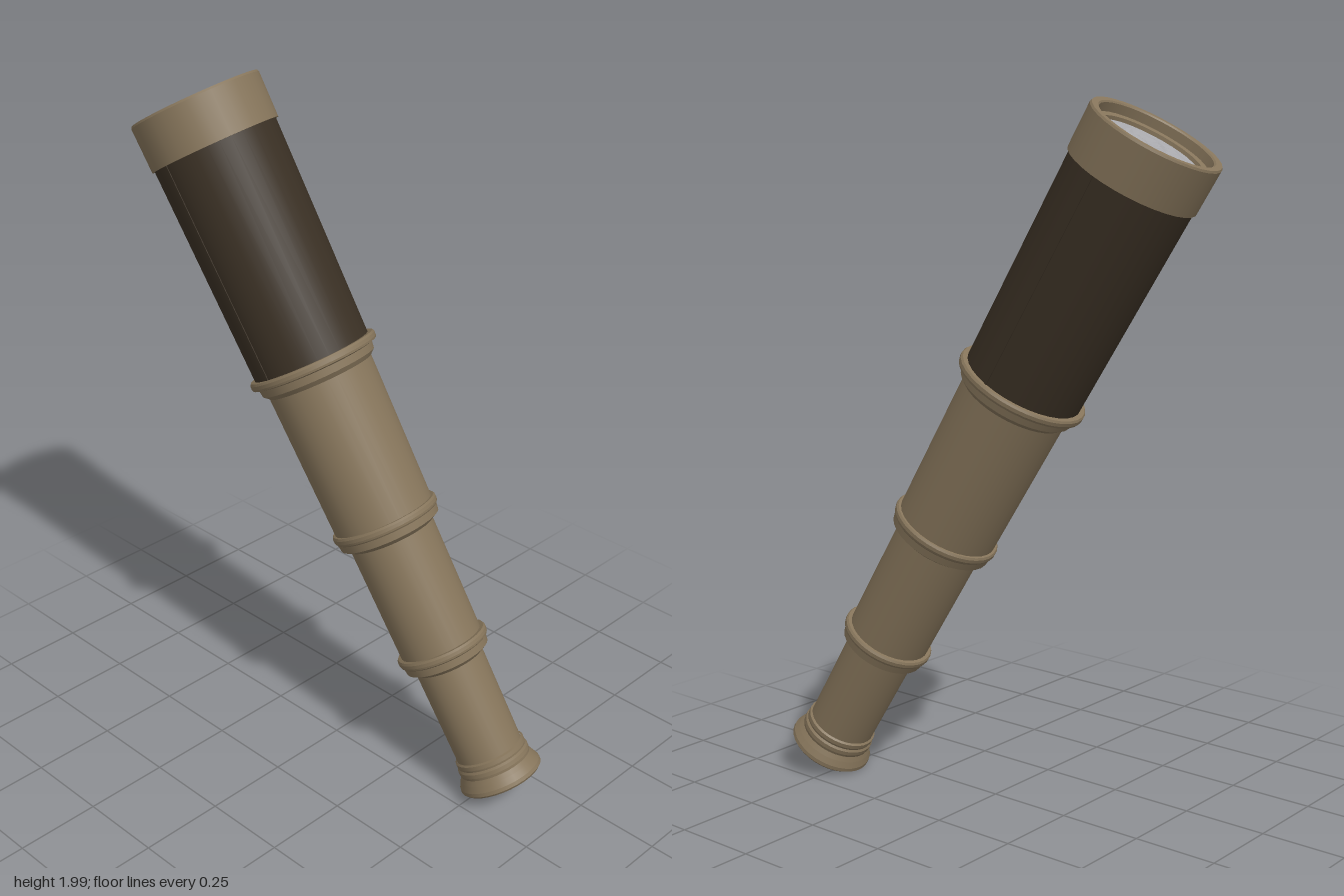
import * as THREE from 'three';
import { mergeGeometries } from 'three/addons/utils/BufferGeometryUtils.js';

const SIDES = 32;

// Lathe along +y from [radius, height] points, with a crisp edge at each point
function turned(points) {
  const v = points.map(([r, h]) => new THREE.Vector2(r, h));
  return mergeGeometries(v.slice(1).map((p, i) => new THREE.LatheGeometry([v[i], p], SIDES)));
}

export function createModel() {
  const brass = new THREE.MeshStandardMaterial({ color: 0x85745a });
  brass.name = 'aged brass';
  const leather = new THREE.MeshStandardMaterial({ color: 0x3a3024 });
  leather.name = 'dark leather';
  const glass = new THREE.MeshStandardMaterial({ color: 0xa6a6aa });
  glass.name = 'grey glass';

  const model = new THREE.Group();
  model.name = 'spyglass';
  const barrel = new THREE.Group();
  barrel.name = 'barrel';
  model.add(barrel);

  const add = (name, geometry, material) => {
    const mesh = new THREE.Mesh(geometry, material);
    mesh.name = name;
    barrel.add(mesh);
    return mesh;
  };

  // Eyepiece: shallow recess, rounded flared lip and a small collar
  add('eyepiece', turned([
    [0.084, 0.015], [0.09, 0.004], [0.1, 0], [0.118, 0.002], [0.125, 0.009],
    [0.124, 0.02], [0.115, 0.038], [0.107, 0.052], [0.109, 0.06], [0.109, 0.072],
    [0.104, 0.078], [0.106, 0.084], [0.106, 0.096], [0.1, 0.1],
  ]), brass);

  // Draw tubes, each slightly tapered
  const tubes = [
    ['smallTube', 0.099, 0.09, 0.103, 0.42],
    ['middleTube', 0.122, 0.4, 0.127, 0.83],
    ['largeTube', 0.147, 0.81, 0.156, 1.33],
  ];
  for (const [name, r0, h0, r1, h1] of tubes) add(name, turned([[r0, h0], [r1, h1]]), brass);

  // Collars: a flare from the thinner tube up to a raised bead
  const collars = [
    ['smallCollar', 0.103, 0.137, 0.126, 0.45],
    ['middleCollar', 0.126, 0.159, 0.15, 0.858],
    ['largeCollar', 0.155, 0.19, 0.17, 1.352],
  ];
  for (const [name, inner, bead, outer, top] of collars) {
    add(name, turned([
      [inner, top - 0.062], [outer, top - 0.048], [outer + 0.003, top - 0.026],
      [bead - 0.002, top - 0.022], [bead, top - 0.016], [bead, top - 0.006],
      [bead - 0.004, top], [outer - 0.005, top],
    ]), brass);
  }

  // Leather-wrapped main tube with a fine seam front and back
  add('leatherGrip', turned([[0.172, 1.345], [0.182, 2.0]]), leather);
  for (const side of [1, -1]) {
    const seam = add('leatherSeam', new THREE.BoxGeometry(0.008, 0.64, 0.004), leather);
    seam.position.set(0, 1.67, side * 0.177);
    seam.rotation.x = side * 0.0153;
  }

  // Front cap with a stepped bore
  add('frontCap', turned([
    [0.18, 1.988], [0.189, 1.988], [0.191, 2.118], [0.188, 2.124], [0.17, 2.124],
    [0.166, 2.12], [0.164, 2.095], [0.148, 2.092], [0.145, 2.078],
  ]), brass);

  // Objective glass: a disc with an uneven, rippled face
  const lens = new THREE.RingGeometry(0, 0.147, SIDES, 8);
  const p = lens.attributes.position;
  for (let i = 0; i < p.count; i++) {
    const x = p.getX(i), y = p.getY(i);
    const fade = 1 - Math.hypot(x, y) / 0.147;
    p.setZ(i, 0.004 * Math.sin(95 * y + 3 * Math.sin(31 * x)) * Math.min(1, fade * 4));
  }
  const faceted = lens.toNonIndexed();
  faceted.computeVertexNormals();
  faceted.rotateX(-Math.PI / 2);
  add('objectiveLens', faceted, glass).position.y = 2.082;

  // Eye glass
  const eye = new THREE.CircleGeometry(0.088, SIDES);
  eye.rotateX(Math.PI / 2);
  add('eyeLens', eye, glass).position.y = 0.012;

  // Lean the barrel from the eyepiece up to the front cap
  const foot = new THREE.Vector3(0.55, 0.063, -0.13);
  const head = new THREE.Vector3(-0.495, 1.905, 0.05);
  barrel.position.copy(foot);
  barrel.quaternion.setFromUnitVectors(new THREE.Vector3(0, 1, 0), head.sub(foot).normalize());
  return model;
}
